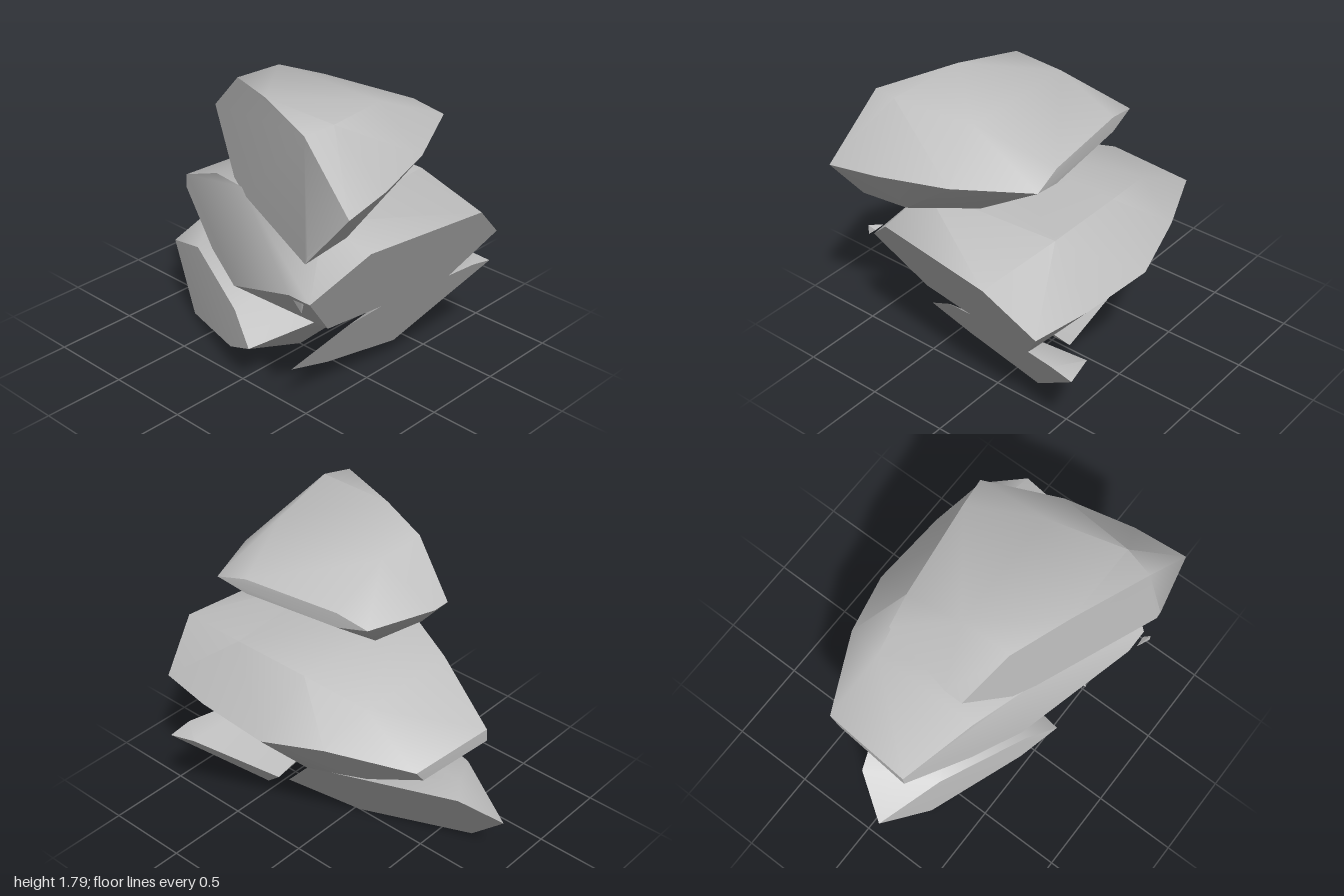
import * as THREE from 'three';
import { toCreasedNormals } from 'three/addons/utils/BufferGeometryUtils.js';
import { ConvexGeometry } from 'three/addons/geometries/ConvexGeometry.js';

// The stones share three flat cut planes; each helper puts a point on one of them.
const onMinusX = (y, z) => [-0.27 - 0.391 * (z + 0.42) + 0.068 * (y - 1.51), y, z];
const onPlusX = (y, z) => [0.70 + 0.405 * (z - 0.07) + 0.76 * (y - 0.87), y, z];
const onFront = (x, y) => [x, y, 0.99 + 0.138 * (x - 0.34) + 0.52 * (y - 1.115)];

export function createModel() {
  const group = new THREE.Group();
  const stone = new THREE.MeshStandardMaterial({ color: 0xc0c0c0 });
  stone.name = 'stoneGrey';

  // Faceted stone: convex body with softened shallow edges
  function addStone(name, points) {
    const hull = new ConvexGeometry(points.map(p => new THREE.Vector3(...p)));
    const mesh = new THREE.Mesh(toCreasedNormals(hull, 0.8), stone);
    mesh.name = name;
    group.add(mesh);
  }

  addStone('topStone', [
    // broad cut side
    onMinusX(1.51, -0.42), onMinusX(1.775, -0.14), onMinusX(1.80, 0.2),
    onMinusX(1.78, 0.65), onMinusX(1.18, 0.75), onMinusX(1.13, 0.73),
    onMinusX(1.16, 0.0), onMinusX(1.20, -0.14),
    // front corner and widest ring
    [-0.71, 1.455, 0.99], [-0.50, 1.80, 0.69], [-0.40, 1.485, 0.95], [-0.43, 1.157, 0.72],
    // middle ring
    [0, 1.517, 0.845], [-0.05, 1.76, 0.59], [-0.05, 1.76, -0.14],
    [-0.16, 1.51, -0.42], [0, 1.27, 0.6], [0, 1.27, -0.14],
    // narrow end
    [0.42, 1.555, 0.64], [0.39, 1.60, 0.45], [0.31, 1.60, -0.14],
    [0.28, 1.555, -0.33], [0.31, 1.51, -0.14], [0.39, 1.51, 0.45],
  ]);

  addStone('middleStone', [
    // front cut
    onFront(-0.70, 0.87), onFront(-0.43, 1.125), onFront(0.34, 1.115),
    onFront(0.61, 0.87), onFront(0.40, 0.57), onFront(-0.43, 0.56),
    // top
    [-0.43, 1.19, 0.56], [0.42, 1.19, 0.5], [0.42, 1.19, 0], [0.35, 1.115, -0.38],
    // side ridge
    [0.67, 0.87, 0.55],
    // plus x cut
    onPlusX(0.87, 0.07), onPlusX(0.945, -0.31), onPlusX(0.91, -0.77), onPlusX(0.83, -0.77),
    onPlusX(0.63, -0.38), onPlusX(0.605, -0.21), onPlusX(0.59, -0.03),
    // minus x cut
    onMinusX(0.91, -0.81), onMinusX(1.115, -0.38), onMinusX(1.19, -0.04),
    onMinusX(0.87, 0.57), onMinusX(0.56, -0.1), onMinusX(0.63, -0.41), onMinusX(0.83, -0.81),
    // underside
    [0.40, 0.56, 0.1],
  ]);

  addStone('lowerBackStone', [
    // plus x cut
    onPlusX(0.60, -0.04), onPlusX(0.28, 0.24), onPlusX(0.005, -0.03),
    onPlusX(0.04, -0.69), onPlusX(0.38, -1.0), onPlusX(0.60, -0.85),
    // minus x cut
    onMinusX(0.16, -0.12), onMinusX(0.285, 0.12), onMinusX(0.42, -0.08), onMinusX(0.53, -0.62),
    // upper edge
    [-0.04, 0.58, -0.2], [-0.02, 0.60, -0.75],
  ]);

  addStone('lowerFrontStone', [
    // front cut
    onFront(-0.55, 0.285), onFront(-0.26, 0.20), onFront(0.15, 0.14), onFront(0.27, 0.12),
    onFront(0.74, 0.58), onFront(0.60, 0.605), onFront(-0.04, 0.57), onFront(-0.27, 0.50),
    // plus x cut
    onPlusX(0.605, 0.60), onPlusX(0.28, 0.30),
  ]);

  addStone('chip', [
    [-0.75, 0.90, 0.71], [-0.75, 0.84, 0.71], [-0.72, 0.87, 0.62], [-0.715, 0.87, 0.69],
  ]);

  return group;
}
